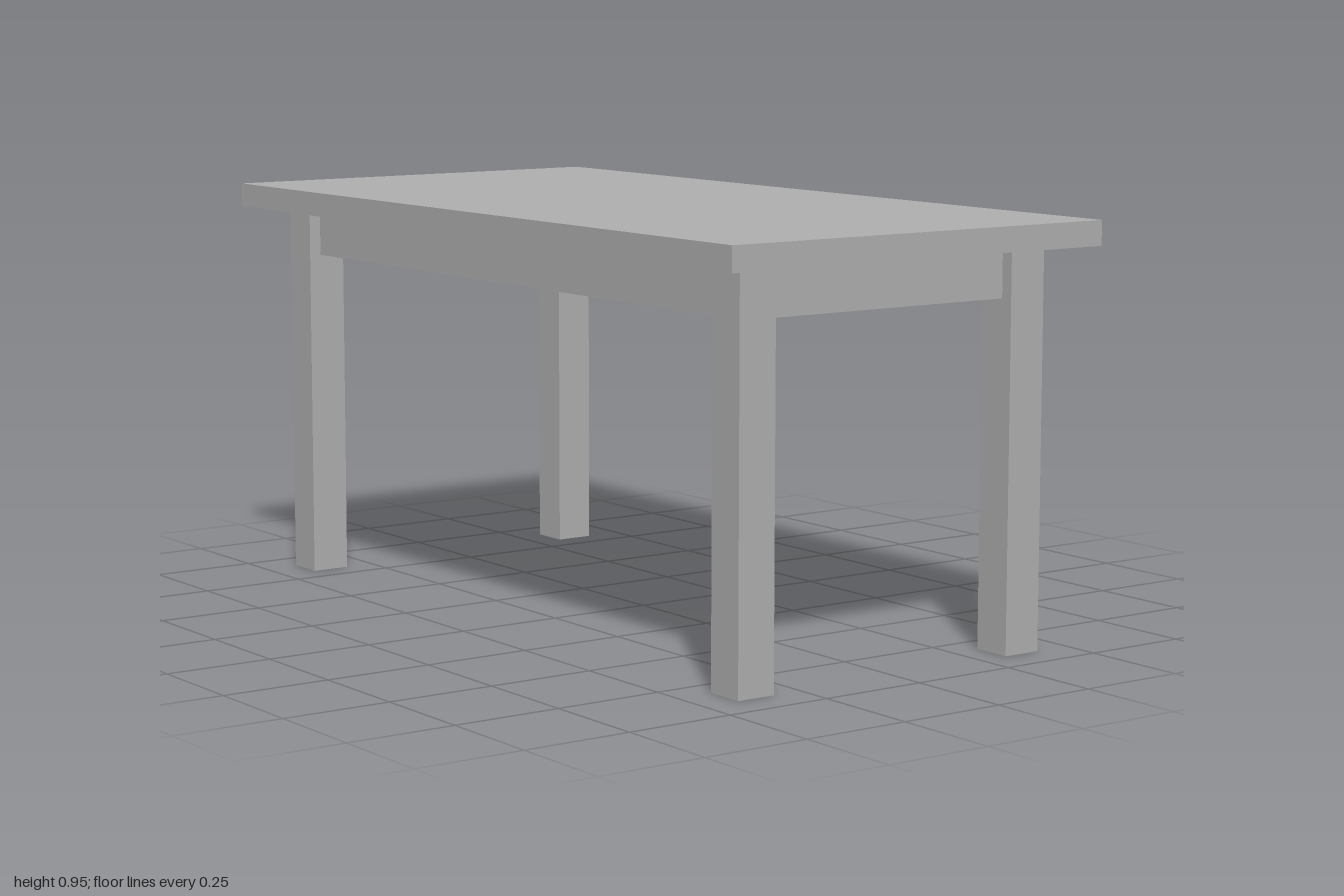
import * as THREE from 'three';

export function createModel() {
  const table = new THREE.Group();
  table.name = 'table';
  const grey = new THREE.MeshStandardMaterial({ color: 0xb0b0b0 });
  grey.name = 'plain grey';

  const topY = 0.953, underY = 0.897, apronY = 0.784;
  const legX = 0.866, legZ = 0.367, legSize = 0.093, apronThick = 0.035;

  function box(name, w, y0, y1, d, x = 0, z = 0) {
    const mesh = new THREE.Mesh(new THREE.BoxGeometry(w, y1 - y0, d), grey);
    mesh.name = name;
    mesh.position.set(x, (y0 + y1) / 2, z);
    table.add(mesh);
  }

  // Slab top
  box('tableTop', 2, underY, topY, 1);

  // Square legs, one near each corner
  for (const [sx, side] of [[1, 'Left'], [-1, 'Right']]) {
    for (const [sz, end] of [[1, 'front'], [-1, 'back']]) {
      box(`${end}${side}Leg`, legSize, 0, underY, legSize, sx * legX, sz * legZ);
    }
  }

  // Apron rails running between the legs, set in from their outer faces
  const longRail = 2 * legX - legSize, shortRail = 2 * legZ - legSize;
  for (const s of [1, -1]) {
    box(s > 0 ? 'frontApron' : 'backApron', longRail, apronY, underY, apronThick, 0, s * legZ);
    box(s > 0 ? 'leftApron' : 'rightApron', apronThick, apronY, underY, shortRail, s * legX, 0);
  }
  return table;
}
